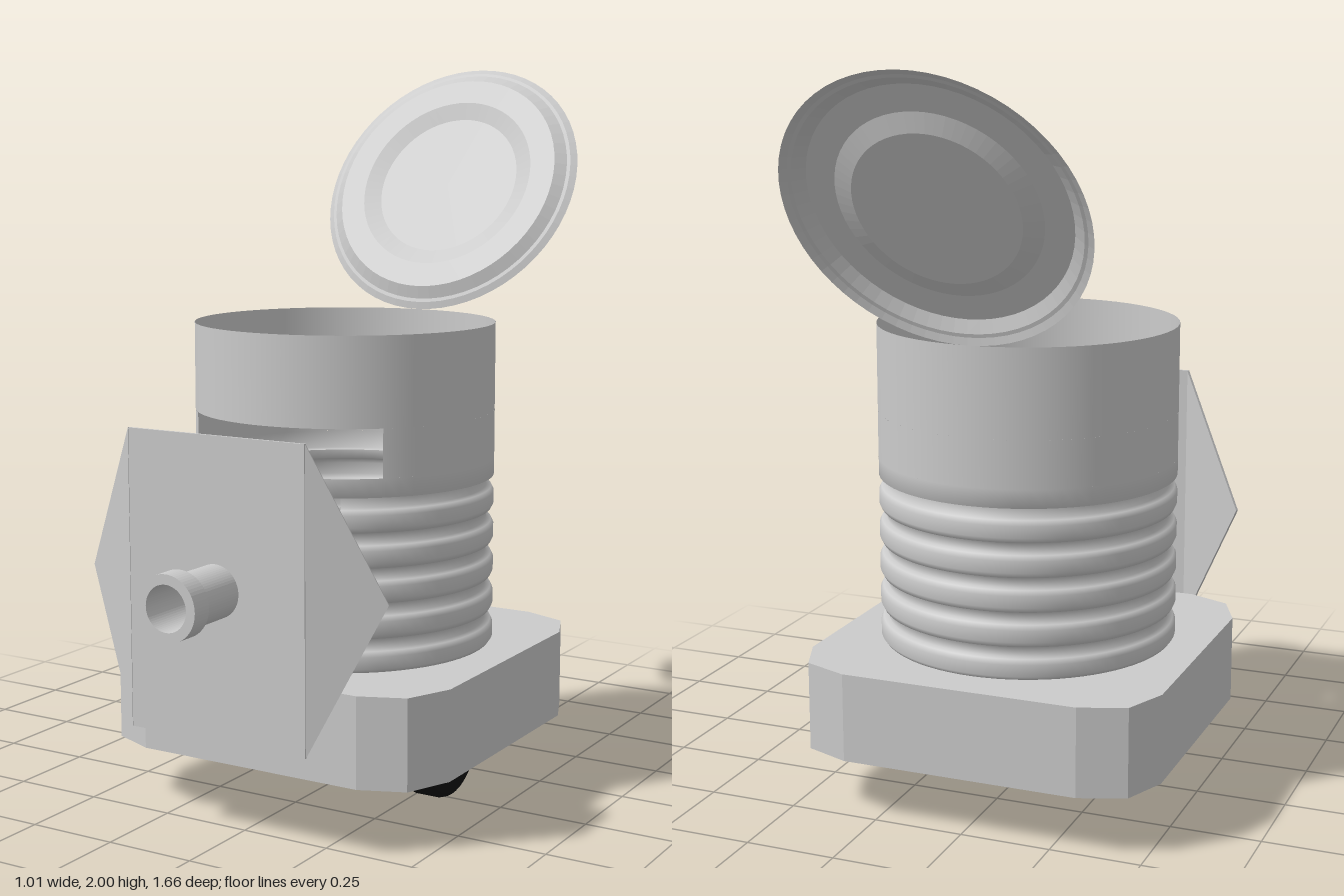
import * as THREE from 'three';

const grey = new THREE.MeshStandardMaterial({ color: 0xcccccc, side: THREE.DoubleSide });
const flatGrey = new THREE.MeshStandardMaterial({ color: 0xcccccc, side: THREE.DoubleSide, flatShading: true });
const navy = new THREE.MeshStandardMaterial({ color: 0x2a2e48 });
const black = new THREE.MeshStandardMaterial({ color: 0x111111 });
const CZ = -0.015; // axis of the can
const R = 0.413;

const vecs = (pts) => pts.map(([x, y]) => new THREE.Vector2(x, y));

export function createModel() {
  const model = new THREE.Group();

  function add(name, geometry, material, x = 0, y = 0, z = 0, parent = model) {
    const mesh = new THREE.Mesh(geometry, material);
    mesh.name = name;
    mesh.position.set(x, y, z);
    parent.add(mesh);
    return mesh;
  }

  // Revolved sheet, left open at the front by a half angle
  const sheet = (pts, gap = 0) =>
    new THREE.LatheGeometry(vecs(pts), 64, gap, Math.PI * 2 - 2 * gap);

  // Horizontal slab, outline given in x and z
  function slab(outline, height, hole) {
    const flip = (pts) => vecs(pts.map(([x, z]) => [x, -z]));
    const shape = new THREE.Shape(flip(outline));
    if (hole) shape.holes.push(new THREE.Path(flip(hole)));
    return new THREE.ExtrudeGeometry(shape, { depth: height, bevelEnabled: false }).rotateX(-Math.PI / 2);
  }

  // Base block with clipped corners
  const half = [[0.33, 0.485], [0.45, 0.435], [0.505, 0.31], [0.505, -0.355], [0.455, -0.475], [0.33, -0.522]];
  const mirrored = half.map(([x, z]) => [-x, z]).reverse();
  add('base', slab([...half, ...mirrored], 0.245), flatGrey, 0, 0.165, 0);

  // Can: plain upper wall with a front slot
  const slotGap = Math.acos(0.295 / R);
  const can = new THREE.Group();
  can.name = 'can';
  can.position.z = CZ;
  model.add(can);
  add('upperWall', sheet([[R, 1.06], [R, 1.3]]), grey, 0, 0, 0, can);
  add('slotWall', sheet([[R, 0.93], [R, 1.06]], slotGap), grey, 0, 0, 0, can);
  add('lowerWall', sheet([[0.392, 0.876], [R, 0.88], [R, 0.93]]), grey, 0, 0, 0, can);
  add('floor', new THREE.CircleGeometry(0.4, 64).rotateX(-Math.PI / 2), grey, 0, 0.415, 0, can);

  // Ribbed lower wall, open where the nozzle housing sits
  const ribs = [[0.39, 0.41]];
  for (let i = 0; i < 5; i++) {
    const y = 0.441 + i * 0.094;
    ribs.push([0.392, y - 0.034], [0.406, y - 0.03], [R, y - 0.016], [R, y + 0.016], [0.406, y + 0.03], [0.392, y + 0.034]);
  }
  ribs[1][1] = 0.412;
  ribs[2][1] = 0.415;
  ribs.push([0.392, 0.876]);
  add('ribbedWall', sheet(ribs, Math.asin(0.2 / R)), grey, 0, 0, 0, can);

  // Tilted lid with pressed rings
  const lid = add('lid', sheet([[0.403, 0], [0.385, 0.01], [0.375, 0.012], [0.345, 0.034],
    [0.27, 0.034], [0.22, 0.018], [0, 0.018]]).toNonIndexed(), flatGrey, 0, 1.65, -0.63);
  lid.rotation.x = 1.052;

  // Nozzle housing: chamfered rectangles lofted forward (z, half width, half height, chamfer)
  const sections = [[0.285, 0.195, 0.177, 0.03], [0.43, 0.195, 0.177, 0.03], [0.505, 0.15, 0.125, 0.04],
    [0.535, 0.125, 0.085, 0.04], [0.547, 0.085, 0.06, 0.03]];
  const pos = [], index = [];
  for (const [z, w, h, c] of sections) {
    for (const [x, y] of [[w, -h + c], [w, h - c], [w - c, h], [-w + c, h], [-w, h - c], [-w, -h + c], [-w + c, -h], [w - c, -h]])
      pos.push(x, y, z);
  }
  for (let s = 0; s < sections.length - 1; s++) {
    for (let i = 0; i < 8; i++) {
      const a = s * 8 + i, b = s * 8 + (i + 1) % 8;
      index.push(a, b, b + 8, a, b + 8, a + 8);
    }
  }
  const last = (sections.length - 1) * 8;
  for (let i = 1; i < 7; i++) index.push(0, i + 1, i, last, last + i, last + i + 1);
  const housing = new THREE.BufferGeometry();
  housing.setAttribute('position', new THREE.Float32BufferAttribute(pos, 3));
  housing.setIndex(index);
  housing.computeVertexNormals();
  add('nozzleHousing', housing, flatGrey, 0, 0.667, 0);

  // Nozzle tube with a thicker muzzle ring and a hollow end
  const nozzle = sheet([[0.07, 0.53], [0.07, 0.775], [0.086, 0.775], [0.086, 0.835], [0.06, 0.835], [0.06, 0.6], [0, 0.6]])
    .toNonIndexed();
  nozzle.rotateX(Math.PI / 2);
  nozzle.computeVertexNormals();
  add('nozzle', nozzle, flatGrey, 0, 0.668, 0);

  // Hexagonal shield: flat middle, triangular wings folded back
  const shield = new THREE.Group();
  shield.name = 'shield';
  shield.position.set(0, 0.67, 0.62);
  model.add(shield);
  add('shieldMiddle', new THREE.BoxGeometry(0.53, 0.79, 0.008), flatGrey, 0, 0, 0, shield);
  const wingShape = new THREE.Shape(vecs([[0, -0.395], [0.205, 0], [0, 0.395]]));
  for (const side of [1, -1]) {
    const geometry = new THREE.ExtrudeGeometry(wingShape, { depth: 0.008, bevelEnabled: false });
    geometry.translate(0, 0, -0.004);
    if (side < 0) geometry.rotateZ(Math.PI);
    const wing = add(side > 0 ? 'leftWing' : 'rightWing', geometry, flatGrey, side * 0.265, 0, 0, shield);
    wing.rotation.y = side * 0.44;
  }

  // Two wheels, each in a framed mount
  const rect = (w, d) => [[w, d], [w, -d], [-w, -d], [-w, d]];
  const tyre = [[0, -0.05], [0.145, -0.05], [0.16, -0.043], [0.165, -0.03],
    [0.165, 0.03], [0.16, 0.043], [0.145, 0.05], [0, 0.05]];
  for (const side of [1, -1]) {
    const x = side * 0.3;
    add('wheelMountFrame', slab(rect(0.088, 0.232), 0.035, rect(0.066, 0.205)), navy, x, 0.131, CZ);
    add('wheelMountPlate', new THREE.BoxGeometry(0.15, 0.016, 0.43), navy, x, 0.157, CZ);
    add('wheel', new THREE.LatheGeometry(vecs(tyre), 40).rotateZ(Math.PI / 2), black, x, 0.165, CZ);
  }

  return model;
}
